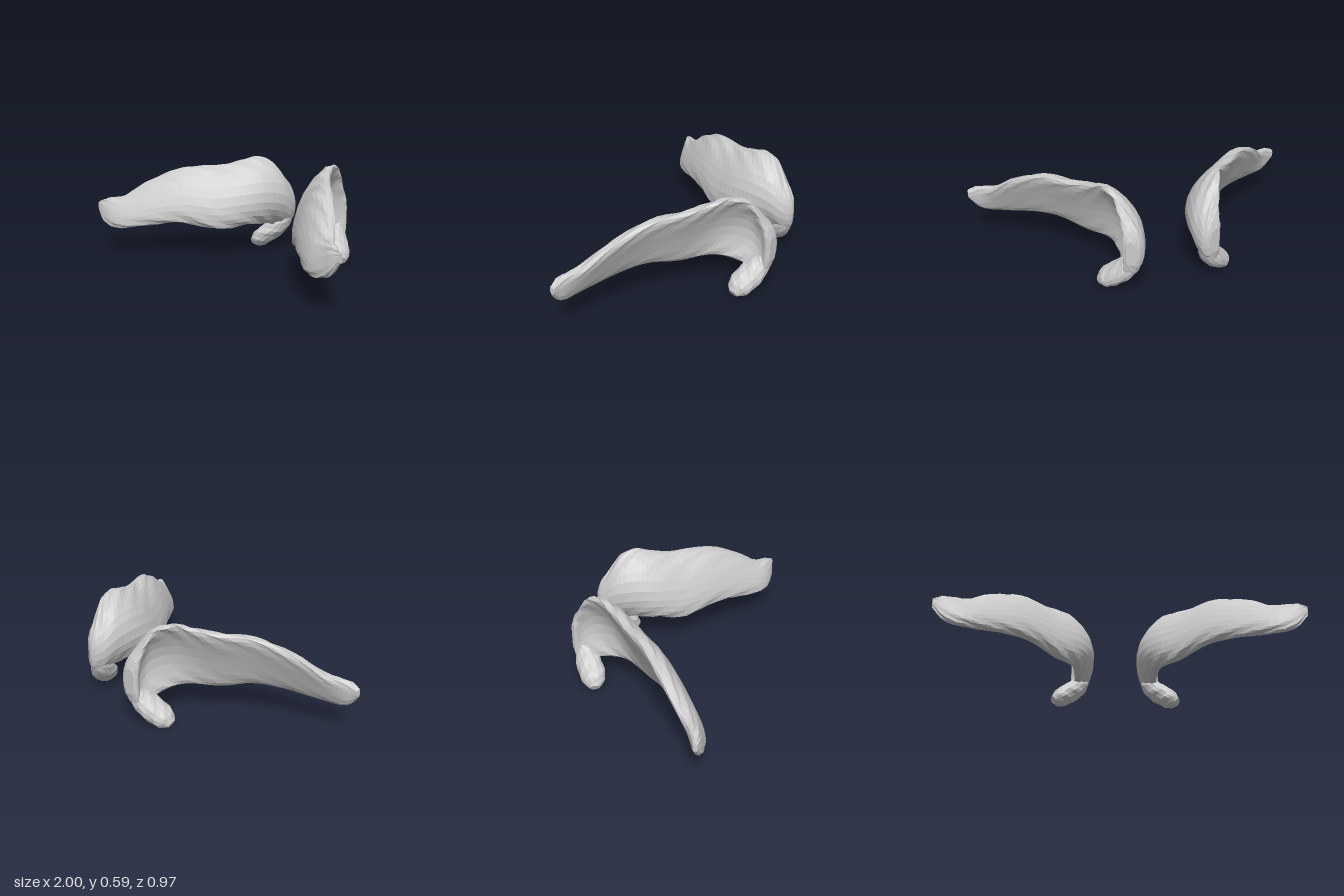
import * as THREE from 'three';

const SIDES = 26;

// Closed skin through rings of points, with a fan on each end; side -1 mirrors in x
function loft(rings, side) {
  const pos = [], idx = [], n = rings[0].length;
  const tri = (a, b, c) => (side > 0 ? idx.push(a, b, c) : idx.push(a, c, b));
  const add = (p) => pos.push(p.x * side, p.y, p.z) / 3 - 1;
  rings.forEach((r) => r.forEach(add));
  for (let i = 0; i < rings.length - 1; i++) {
    for (let j = 0; j < n; j++) {
      const a = i * n + j, b = i * n + ((j + 1) % n);
      tri(a, b, a + n);
      tri(b, b + n, a + n);
    }
  }
  const centre = (r) => r.reduce((s, p) => s.add(p), new THREE.Vector3()).divideScalar(n);
  const last = (rings.length - 1) * n;
  const c0 = add(centre(rings[0])), c1 = add(centre(rings[rings.length - 1]));
  for (let j = 0; j < n; j++) {
    const k = (j + 1) % n;
    tri(c0, k, j);
    tri(c1, last + j, last + k);
  }
  const g = new THREE.BufferGeometry();
  g.setAttribute('position', new THREE.Float32BufferAttribute(pos, 3));
  g.setIndex(idx);
  g.computeVertexNormals();
  return g;
}

const spline = (pts) =>
  new THREE.CatmullRomCurve3(pts.map((p) => new THREE.Vector3(...p)), false, 'catmullrom', 0.5);

const power = (k, e) => Math.sign(k) * Math.pow(Math.abs(k), e);

// Wing sections from the front tip to the broad back rim:
// x, z, top, bottom, half thickness, lean, bow
const WING = [
  [0.997, 0.458, 0.3, 0.255, 0.012, 0.0, 0.0],
  [0.93, 0.447, 0.328, 0.178, 0.03, 0.012, 0.0],
  [0.82, 0.397, 0.352, 0.157, 0.046, 0.042, 0.01],
  [0.685, 0.28, 0.455, 0.183, 0.052, 0.062, 0.015],
  [0.535, 0.145, 0.526, 0.2, 0.054, 0.068, 0.02],
  [0.387, 0.0, 0.538, 0.16, 0.056, 0.074, 0.03],
  [0.288, -0.128, 0.565, 0.178, 0.052, 0.062, 0.05],
  [0.241, -0.24, 0.588, 0.172, 0.047, 0.044, 0.078],
  [0.222, -0.345, 0.558, 0.15, 0.046, 0.02, 0.085],
  [0.222, -0.415, 0.47, 0.125, 0.052, 0.008, 0.055],
  [0.232, -0.456, 0.4, 0.14, 0.054, 0.0, 0.02],
  [0.238, -0.474, 0.345, 0.2, 0.032, 0.0, 0.01],
];

function wingRings() {
  const path = spline(WING.map((s) => [s[0], 0, s[1]]));
  const edges = spline(WING.map((s) => [s[2], s[3], s[4]]));
  const bend = spline(WING.map((s) => [s[5], s[6], 0]));
  const rings = [], steps = 44;
  for (let i = 0; i <= steps; i++) {
    const t = i / steps;
    const c = path.getPoint(t), e = edges.getPoint(t), b = bend.getPoint(t);
    const d = path.getTangent(t);
    const mid = (e.x + e.y) / 2, h = (e.x - e.y) / 2, ring = [];
    for (let j = 0; j < SIDES; j++) {
      const a = (j / SIDES) * Math.PI * 2;
      const v = power(Math.sin(a), 0.85), round = power(Math.cos(a), 0.7);
      // slight unevenness along the top and bottom edges
      const lump = 0.004 * v * v * Math.sin(i * 1.3 + j * 2.1);
      const o = e.z * round - b.x * v + b.y * (0.5 - v * v) + lump;
      ring.push(new THREE.Vector3(c.x + d.z * o, mid + h * v + lump * v, c.z - d.x * o));
    }
    rings.push(ring);
  }
  return rings;
}

// Hook sections running down and outward from the back rim: x, y, z, width, thickness
const HOOK = [
  [0.21, 0.28, -0.44, 0.015, 0.015],
  [0.207, 0.22, -0.43, 0.038, 0.042],
  [0.222, 0.17, -0.408, 0.058, 0.053],
  [0.26, 0.12, -0.375, 0.074, 0.058],
  [0.307, 0.076, -0.335, 0.074, 0.056],
  [0.345, 0.046, -0.31, 0.062, 0.05],
  [0.376, 0.028, -0.295, 0.028, 0.022],
];

function hookRings() {
  const path = spline(HOOK.map((s) => s.slice(0, 3)));
  const size = spline(HOOK.map((s) => [s[3], s[4], 0]));
  const rings = [], steps = 18;
  for (let i = 0; i <= steps; i++) {
    const t = i / steps, c = path.getPoint(t), s = size.getPoint(t), d = path.getTangent(t);
    const u = new THREE.Vector3(0, 0, 1).addScaledVector(d, -d.z).normalize();
    const w = new THREE.Vector3().crossVectors(d, u);
    const ring = [];
    for (let j = 0; j < 14; j++) {
      const a = (j / 14) * Math.PI * 2, lump = 1 + 0.04 * Math.sin(i * 1.7 + j * 2.3);
      ring.push(c.clone()
        .addScaledVector(u, s.x * Math.cos(a) * lump)
        .addScaledVector(w, s.y * Math.sin(a) * lump));
    }
    rings.push(ring);
  }
  return rings;
}

export function createModel() {
  const model = new THREE.Group();
  model.name = 'pairedWings';
  const material = new THREE.MeshStandardMaterial({ color: 0xcccccc, flatShading: true });
  for (const side of [1, -1]) {
    const half = new THREE.Group();
    half.name = side > 0 ? 'leftHalf' : 'rightHalf';
    const wing = new THREE.Mesh(loft(wingRings(), side), material);
    wing.name = 'wing';
    const hook = new THREE.Mesh(loft(hookRings(), side), material);
    hook.name = 'hook';
    half.add(wing, hook);
    model.add(half);
  }
  return model;
}
